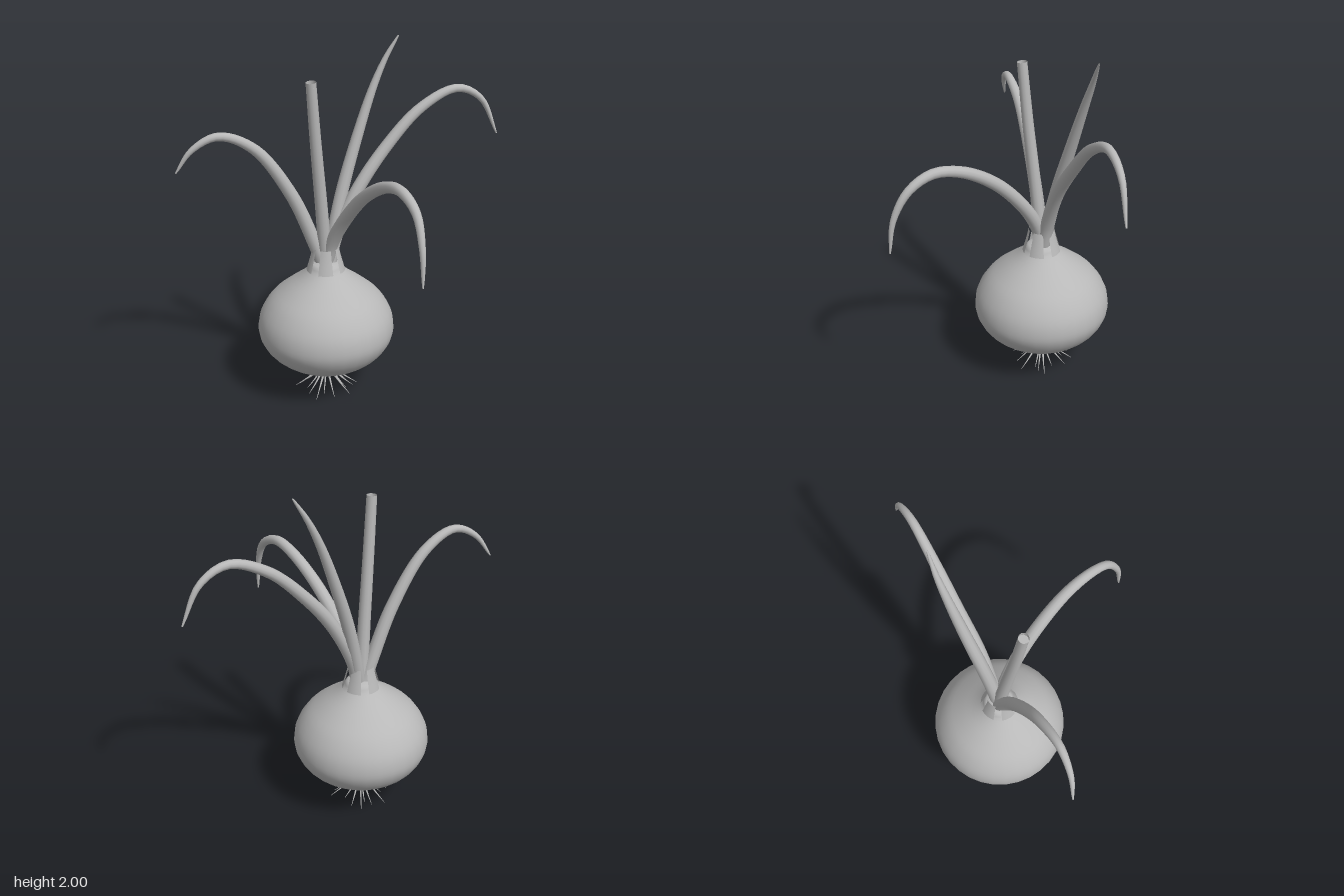
import * as THREE from 'three';

const grey = new THREE.MeshStandardMaterial({ color: 0xb8b8b8, side: THREE.DoubleSide });
grey.name = 'plain grey';
const CX = -0.07, CZ = 0.015; // bulb axis

// Tube along a smooth path whose radius follows radiusAt(t)
function taperedTube(name, points, radiusAt, rings = 32, sides = 12) {
  const curve = new THREE.CatmullRomCurve3(points.map(p => new THREE.Vector3(...p)));
  const geo = new THREE.TubeGeometry(curve, rings, 1, sides, false);
  const pos = geo.attributes.position;
  const v = new THREE.Vector3();
  for (let i = 0; i <= rings; i++) {
    const c = curve.getPointAt(i / rings);
    const r = radiusAt(i / rings);
    for (let j = 0; j <= sides; j++) {
      const k = i * (sides + 1) + j;
      v.fromBufferAttribute(pos, k).sub(c).multiplyScalar(r).add(c);
      pos.setXYZ(k, v.x, v.y, v.z);
    }
  }
  const mesh = new THREE.Mesh(geo, grey);
  mesh.name = name;
  return mesh;
}

function lathe(name, profile, segments, start, length) {
  const pts = profile.map(p => new THREE.Vector2(...p));
  const mesh = new THREE.Mesh(new THREE.LatheGeometry(pts, segments, start, length), grey);
  mesh.position.set(CX, 0, CZ);
  mesh.name = name;
  return mesh;
}

export function createModel() {
  const model = new THREE.Group();
  model.name = 'sproutingOnion';

  // Bulb
  const half = new THREE.SplineCurve([
    [0, 0.125], [0.07, 0.13], [0.16, 0.155], [0.25, 0.2], [0.33, 0.265], [0.375, 0.34],
    [0.384, 0.41], [0.365, 0.49], [0.31, 0.575], [0.23, 0.645], [0.15, 0.705], [0.1, 0.75], [0.075, 0.785], [0, 0.8],
  ].map(p => new THREE.Vector2(...p)));
  const profile = half.getPoints(40).map(p => [Math.max(p.x, 0), p.y]);
  model.add(lathe('bulb', profile, 32, 0, Math.PI * 2));

  // Five dry sheath strips around the neck
  for (let i = 0; i < 5; i++) {
    const mid = Math.PI / 2 + i * Math.PI * 2 / 5;
    model.add(lathe('neckSheath', [[0.107, 0.745], [0.094, 0.79], [0.082, 0.835], [0.072, 0.88]], 6, mid - 0.4, 0.8));
  }

  // Hollow leaves, drooping to pointed tips
  const leafRadius = t => 0.004 + 0.034 * Math.pow(1 - Math.pow(t, 2.2), 0.75);
  const leaves = {
    frontRightLeaf: [[-0.09, 0.78, 0.015], [-0.125, 0.9, 0.04], [-0.23, 1.21, 0.12], [-0.39, 1.49, 0.24],
      [-0.54, 1.575, 0.35], [-0.66, 1.51, 0.415], [-0.745, 1.385, 0.44]],
    frontLeftLeaf: [[-0.06, 0.8, 0.015], [-0.03, 0.91, 0.03], [0.06, 1.08, 0.085], [0.2, 1.27, 0.195], [0.35, 1.39, 0.325],
      [0.46, 1.415, 0.435], [0.555, 1.35, 0.53], [0.605, 1.2, 0.6], [0.62, 1.01, 0.625]],
    backLeftLeaf: [[-0.05, 0.78, 0], [-0.025, 0.93, -0.03], [0.07, 1.18, -0.11], [0.2, 1.41, -0.23], [0.36, 1.61, -0.36],
      [0.53, 1.7, -0.485], [0.65, 1.63, -0.57], [0.74, 1.42, -0.62]],
    tallLeaf: [[-0.06, 0.78, 0], [-0.04, 0.95, -0.035], [-0.01, 1.17, -0.09], [0.045, 1.45, -0.175],
      [0.11, 1.72, -0.26], [0.165, 1.88, -0.315], [0.225, 2.0, -0.355]],
  };
  for (const [name, path] of Object.entries(leaves)) model.add(taperedTube(name, path, leafRadius, 40));

  // Cut stalk with a slightly sunken end
  const stalkPath = [[-0.07, 0.78, 0.015], [-0.08, 1.1, 0.05], [-0.095, 1.5, 0.098], [-0.107, 1.84, 0.132]];
  model.add(taperedTube('cutStalk', stalkPath, t => 0.038 - 0.01 * t));
  const end = new THREE.Mesh(new THREE.CircleGeometry(0.028, 12), grey);
  end.rotation.x = -Math.PI / 2 + 0.1;
  end.position.set(-0.106, 1.815, 0.13);
  end.name = 'stalkEnd';
  model.add(end);

  // Fringe of thin curved roots
  const count = 18;
  for (let i = 0; i < count; i++) {
    const a = i / count * Math.PI * 2 + 0.15 * Math.sin(i * 5);
    const reach = [0.18, 0.12, 0.155][i % 3];
    const at = (r, y) => [CX + Math.sin(a) * r, y, CZ + Math.cos(a) * r];
    model.add(taperedTube('root', [at(0.025, 0.15), at(0.04, 0.11), at(reach * 0.55, 0.06), at(reach, 0.003 + 0.006 * (i % 2))],
      t => 0.0085 * (1 - t) + 0.001, 10, 6));
  }
  return model;
}
